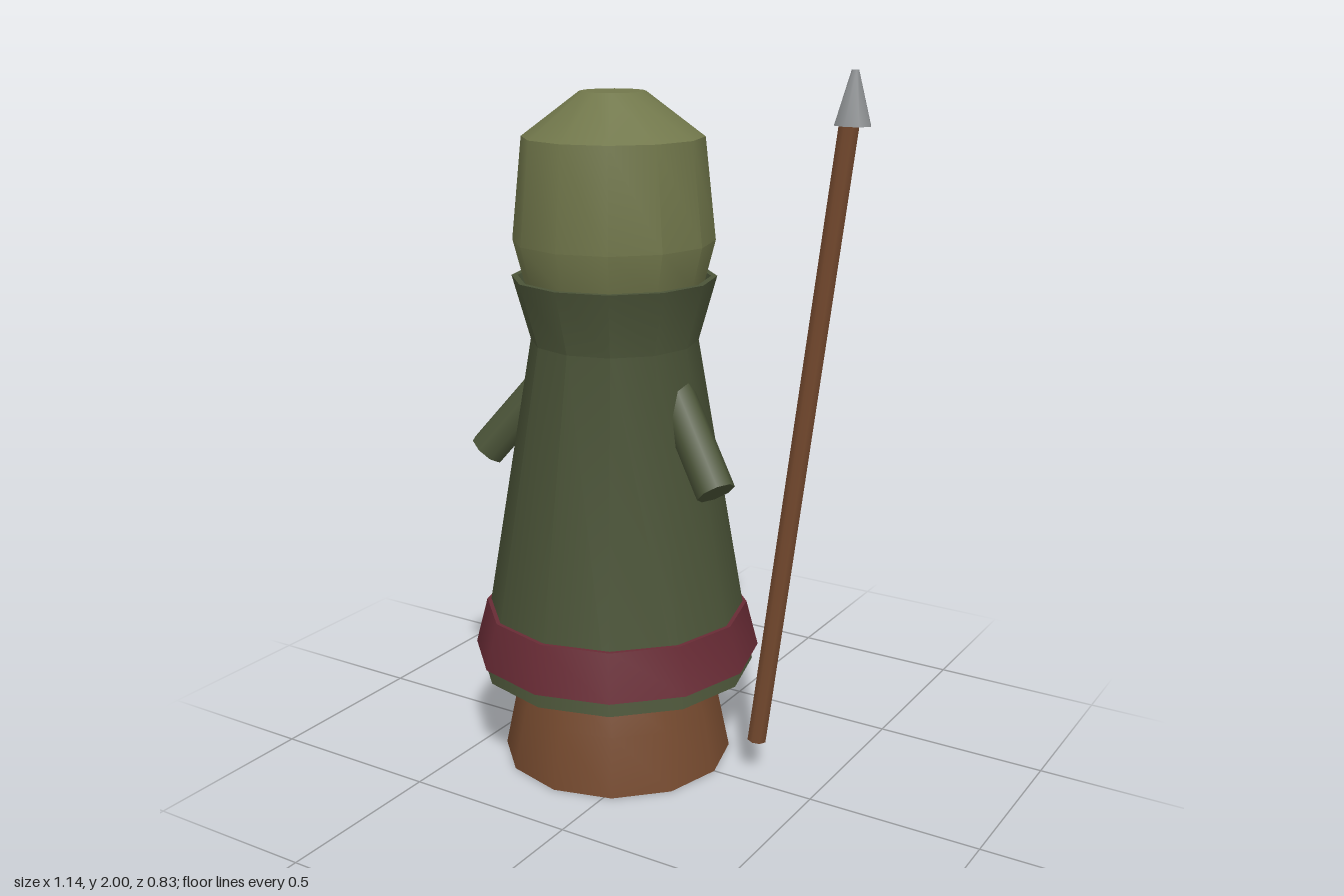
import * as THREE from 'three';
import { toCreasedNormals } from 'three/addons/utils/BufferGeometryUtils.js';

const paint = (color) => new THREE.MeshStandardMaterial({ color });
const ROBE = paint(0x4b5438);
const HOOD = paint(0x71774b);
const BAND = paint(0x682b35);
const BROWN = paint(0x74492e);
const METAL = paint(0x8c8f91);
const V = (x, y, z) => new THREE.Vector3(x, y, z);

// Twelve-sided turned part; the profile is [radius, height] from bottom to top
function turned(name, profile, material) {
  const points = profile.map(([r, y]) => new THREE.Vector2(r, y));
  const geometry = toCreasedNormals(new THREE.LatheGeometry(points, 12), 0.6);
  const mesh = new THREE.Mesh(geometry, material);
  mesh.name = name;
  return mesh;
}

// Round bar from a to b
function bar(name, a, b, ra, rb, material, sides = 8) {
  const mesh = new THREE.Mesh(new THREE.CylinderGeometry(rb, ra, a.distanceTo(b), sides), material);
  mesh.position.copy(a).lerp(b, 0.5);
  mesh.quaternion.setFromUnitVectors(V(0, 1, 0), b.clone().sub(a).normalize());
  mesh.name = name;
  return mesh;
}

export function createModel() {
  const model = new THREE.Group();
  const body = new THREE.Group();
  body.name = 'body';
  body.position.x = -0.145;
  model.add(body);

  // Base under the robe
  body.add(turned('base', [[0, 0], [0.335, 0], [0.3, 0.17], [0.26, 0.29], [0, 0.29]], BROWN));

  // Robe with flared, open collar
  body.add(turned('robe', [
    [0, 0.285], [0.4, 0.285], [0.235, 1.25], [0.285, 1.43], [0.268, 1.43], [0.24, 1.34],
  ], ROBE));

  // Hem band
  body.add(turned('hemBand', [[0.38, 0.33], [0.416, 0.33], [0.381, 0.465], [0.355, 0.465]], BAND));

  // Hood
  body.add(turned('hood', [
    [0, 1.32], [0.22, 1.32], [0.252, 1.42], [0.28, 1.53], [0.25, 1.81], [0.09, 1.93], [0, 1.93],
  ], HOOD));

  for (const side of [-1, 1]) {
    // Arms reaching down and forward
    const arm = bar(side > 0 ? 'leftArm' : 'rightArm',
      V(side * 0.2, 1.13, 0.01), V(side * 0.385, 0.89, 0.097), 0.055, 0.055, ROBE);
    body.add(arm);
    // Small pegs just showing under the hem
    const peg = new THREE.Mesh(new THREE.SphereGeometry(0.025, 8, 6), BROWN);
    peg.position.set(side * 0.277, 0.298, 0);
    peg.name = side > 0 ? 'leftPeg' : 'rightPeg';
    body.add(peg);
  }

  // Leaning spear
  const spear = new THREE.Group();
  spear.name = 'spear';
  spear.add(
    bar('shaft', V(0.296, 0.105, -0.06), V(0.506, 1.87, -0.097), 0.028, 0.028, BROWN),
    bar('spearhead', V(0.514, 1.862, -0.098), V(0.516, 2, -0.1), 0.05, 0.01, METAL),
  );
  model.add(spear);
  return model;
}
